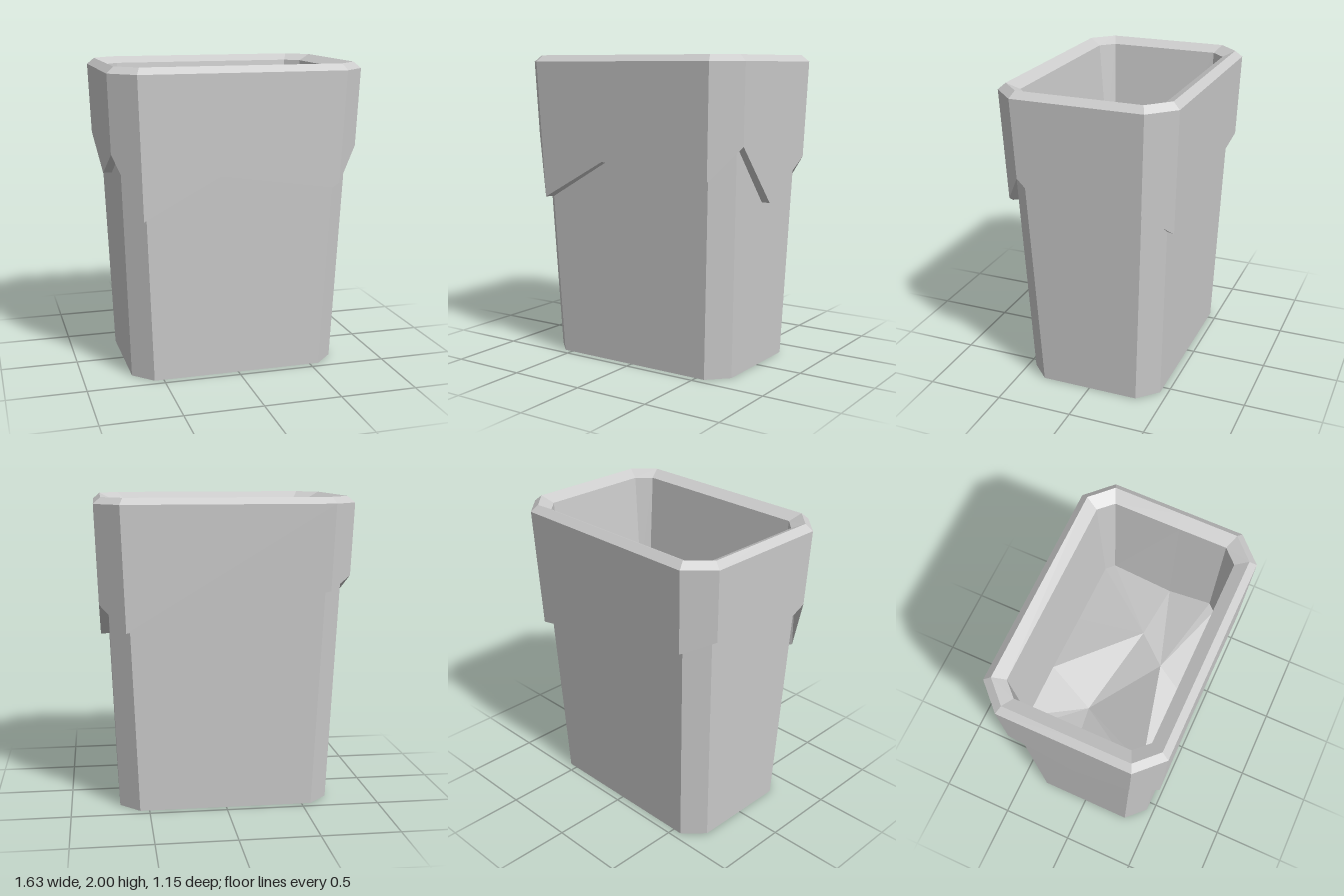
import * as THREE from 'three';

const grey = new THREE.MeshStandardMaterial({ color: 0xcccccc, flatShading: true });

// Chamfered-rectangle outlines: half sizes [hx, hz] and corner starts [cx, cz]
const bodySize = y => [0.685 + 0.038 * y, 0.45 + 0.038 * y, 0.56 + 0.04 * y, 0.325 + 0.04 * y];
const sleeveSize = y => {
  const d = 0.036 * (1.96 - y);
  return [0.815 - d, 0.575 - d, 0.66 - d, 0.42 - d];
};

// Outline stations, counter-clockwise from above: [side axis, side sign, position along side, height]
const corners = [
  ['x', 1, 1], ['x', 1, -1], ['z', -1, 1], ['z', -1, -1],
  ['x', -1, -1], ['x', -1, 1], ['z', 1, -1], ['z', 1, 1],
];
const hem = [
  ['x', 1, 1, 1.46], ['x', 1, 0.1, 1.08], ['x', 1, -1, 1.34],
  ['z', -1, 1, 1.18], ['z', -1, -1, 1.42],
  ['x', -1, -1, 1.5], ['x', -1, 0.05, 1.29], ['x', -1, 1, 1.47],
  ['z', 1, -1, 1.07], ['z', 1, -0.23, 1.33], ['z', 1, 0.93, 1.22], ['z', 1, 1, 1.25],
];
const floorEdge = [
  ['x', 1, 1, 1.26], ['x', 1, 0.17, 1.2], ['x', 1, -1, 1.25],
  ['z', -1, 1, 1.25], ['z', -1, 0.29, 1.27], ['z', -1, -0.38, 1.3], ['z', -1, -1, 1.3],
  ['x', -1, -1, 1.3], ['x', -1, -0.14, 1.22], ['x', -1, 1, 1.27],
  ['z', 1, -1, 1.3], ['z', 1, -0.05, 1.3], ['z', 1, 1, 1.27],
];

// Turns stations into a ring of points; without y each station uses its own height
function ring(stations, size, y) {
  return stations.map(([axis, sign, t, ownY]) => {
    const h = y ?? ownY;
    const [hx, hz, cx, cz] = typeof size === 'function' ? size(h) : size;
    return axis === 'x' ? [sign * hx, h, t * cz] : [t * cx, h, sign * hz];
  });
}

// Triangles joining successive rings
function loft(rings) {
  const out = [];
  for (let r = 0; r < rings.length - 1; r++) {
    const a = rings[r], b = rings[r + 1], n = a.length;
    for (let i = 0; i < n; i++) {
      const j = (i + 1) % n;
      out.push(a[i], a[j], b[j], a[i], b[j], b[i]);
    }
  }
  return out;
}

function part(name, points) {
  const geo = new THREE.BufferGeometry();
  geo.setAttribute('position', new THREE.Float32BufferAttribute(points.flat(), 3));
  geo.computeVertexNormals();
  const mesh = new THREE.Mesh(geo, grey);
  mesh.name = name;
  return mesh;
}

export function createModel() {
  const group = new THREE.Group();
  group.name = 'wasteBin';

  // Tapered bin with a closed base
  const base = ring(corners, bodySize, 0);
  const binPoints = loft([base, ring(corners, bodySize, 1.7)]);
  base.forEach((p, i) => binPoints.push(p, [0, 0, 0], base[(i + 1) % base.length]));
  group.add(part('bin', binPoints));

  // Bag folded over the rim, with an uneven hem and a bevelled top
  const rimTop = [0.77, 0.53, 0.64, 0.4];
  const mouth = [0.69, 0.452, 0.605, 0.365];
  group.add(part('bagOverhang', loft([
    ring(hem, bodySize),
    ring(hem, sleeveSize),
    ring(hem, sleeveSize, 1.96),
    ring(hem, rimTop, 2),
    ring(hem, mouth, 1.96),
  ])));

  // Inside walls of the bag
  const edge = ring(floorEdge, [0.632, 0.395, 0.582, 0.347]);
  group.add(part('bagInterior', loft([ring(floorEdge, mouth, 1.96), edge])));

  // Crumpled bag bottom: edge segments fan to three creases
  const A = [-0.31, 1.05, -0.11], B = [0.21, 1.37, 0.05], C = [0.05, 1.36, 0.24];
  const fan = [C, B, B, B, B, A, A, A, A, A, C, C, C];
  const floor = [B, A, C];
  fan.forEach((c, i) => {
    const prev = fan[(i + fan.length - 1) % fan.length];
    floor.push(edge[i], edge[(i + 1) % edge.length], c);
    if (prev !== c) floor.push(edge[i], c, prev);
  });
  group.add(part('bagBottom', floor));

  return group;
}
